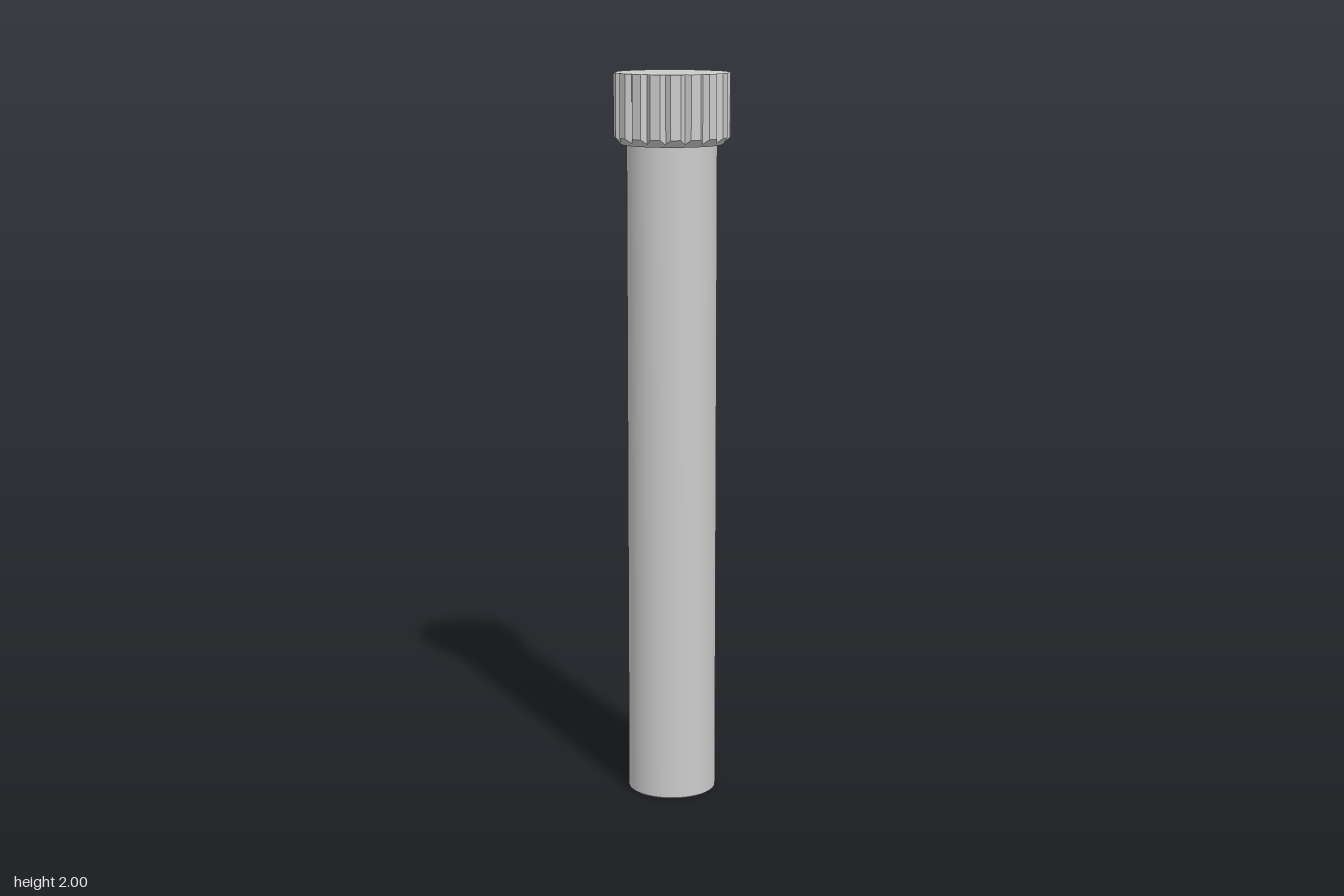
import * as THREE from 'three';
import { toCreasedNormals } from 'three/addons/utils/BufferGeometryUtils.js';

const HEIGHT = 2, HEAD_BASE = 1.81;
const TEETH = 18, TOOTH_R = 0.158, NOTCH_R = 0.146, RIM_R = 0.138;

// Knurled outline: a notch followed by a flat tooth, repeated around the head
function knurlOutline() {
  const points = [];
  const step = (Math.PI * 2) / TEETH;
  for (let i = 0; i < TEETH; i++) {
    for (const [offset, r] of [[0, NOTCH_R], [0.25, TOOTH_R], [0.75, TOOTH_R]]) {
      points.push({ a: (i + offset) * step, r });
    }
  }
  return points;
}

// Head lofted through loops: underside, chamfer, knurled wall, flat top
function headGeometry() {
  const outline = knurlOutline();
  const n = outline.length;
  const at = (a, r, y) => [r * Math.sin(a), y, -r * Math.cos(a)];
  const loops = [
    outline.map(({ a }) => at(a, 0, HEAD_BASE)),
    outline.map(({ a }) => at(a, RIM_R, HEAD_BASE)),
    outline.map(({ a, r }) => at(a, r, HEAD_BASE + (r - RIM_R))),
    outline.map(({ a, r }) => at(a, r, HEIGHT)),
    outline.map(({ a }) => at(a, 0, HEIGHT)),
  ];
  const positions = [];
  for (let k = 0; k < loops.length - 1; k++) {
    const lower = loops[k], upper = loops[k + 1];
    for (let i = 0; i < n; i++) {
      const j = (i + 1) % n;
      // The first and last bands close to a point, so they need one triangle only
      if (k < loops.length - 2) positions.push(...lower[i], ...upper[i], ...upper[j]);
      if (k > 0) positions.push(...lower[i], ...upper[j], ...lower[j]);
    }
  }
  const geometry = new THREE.BufferGeometry();
  geometry.setAttribute('position', new THREE.Float32BufferAttribute(positions, 3));
  geometry.computeVertexNormals();
  return geometry;
}

// Plain round shaft with a tiny chamfer at the foot
function shaftGeometry() {
  const profile = [[0, 0], [0.118, 0], [0.122, 0.004], [0.122, HEAD_BASE]]
    .map(([r, y]) => new THREE.Vector2(r, y));
  return toCreasedNormals(new THREE.LatheGeometry(profile, 64), Math.PI / 6);
}

export function createModel() {
  const group = new THREE.Group();
  group.name = 'capScrew';

  const shaft = new THREE.Mesh(shaftGeometry(), new THREE.MeshStandardMaterial({ color: 0xcccccc }));
  shaft.name = 'shaft';

  const head = new THREE.Mesh(headGeometry(), new THREE.MeshStandardMaterial({ color: 0xcccccc, flatShading: true }));
  head.name = 'knurledHead';

  group.add(shaft, head);
  return group;
}
